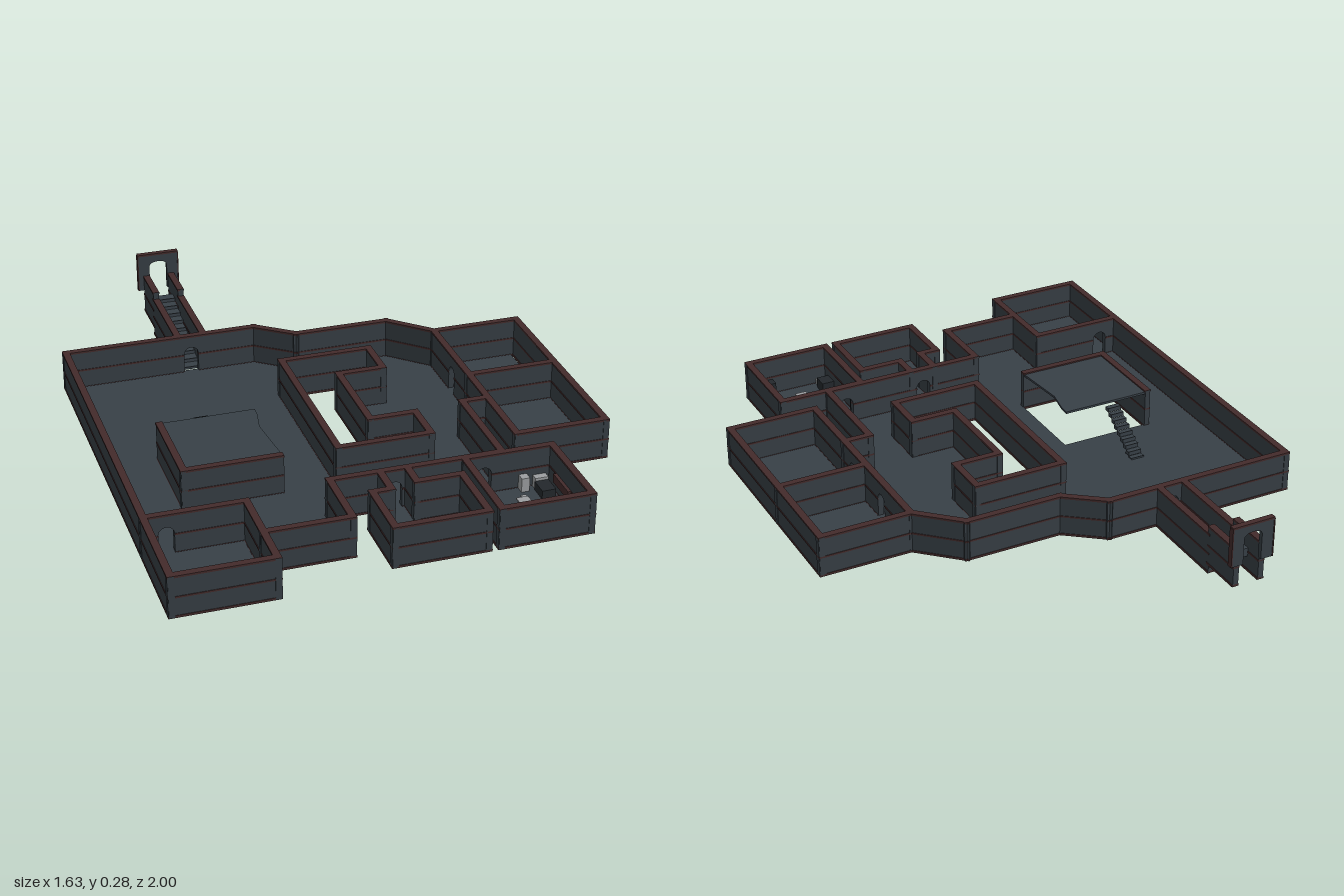
import * as THREE from 'three';

const mat = (name, color) => {
  const m = new THREE.MeshStandardMaterial({ color, side: THREE.DoubleSide });
  m.name = name;
  return m;
};

export function createModel() {
  const root = new THREE.Group();
  root.name = 'sunkenComplex';
  const slate = mat('slate wall', 0x363e44);
  const deck = mat('slate floor', 0x384047);
  const rust = mat('rust trim', 0x432b2b);
  const dark = mat('dark metal', 0x23282c);
  const pale = mat('pale furniture', 0x9c9fa1);
  const T = 0.024, BASE = 0.025, TOP = 0.17;

  const add = (parent, name, geo, m, x = 0, y = 0, z = 0) => {
    const mesh = new THREE.Mesh(geo, m);
    mesh.name = name;
    mesh.position.set(x, y, z);
    parent.add(mesh);
    return mesh;
  };
  // box given by its limits
  const box = (name, m, x0, x1, y0, y1, z0, z1, parent = root) =>
    add(parent, name, new THREE.BoxGeometry(x1 - x0, y1 - y0, z1 - z0), m,
      (x0 + x1) / 2, (y0 + y1) / 2, (z0 + z1) / 2);

  // flat slab from plan points, with optional holes
  const plan = pts => pts.map(([x, z]) => new THREE.Vector2(x, -z));
  function slab(name, pts, y, depth, holes = []) {
    const shape = new THREE.Shape(plan(pts));
    holes.forEach(h => shape.holes.push(new THREE.Path(plan(h))));
    const geo = new THREE.ExtrudeGeometry(shape, { depth, bevelEnabled: false });
    geo.rotateX(-Math.PI / 2);
    return add(root, name, geo, deck, 0, y, 0);
  }

  // wall between two plan points, with arched doors and rust bands
  function wall(name, [x1, z1], [x2, z2], doors = [], y0 = BASE, y1 = TOP) {
    const g = new THREE.Group();
    g.name = name;
    const L = Math.hypot(x2 - x1, z2 - z1), e = T / 2, w = 0.026, h = 0.1, H = y1 - y0;
    const s = new THREE.Shape();
    s.moveTo(-e, 0);
    const spans = [];
    let from = -e;
    doors.forEach(d => {
      s.lineTo(d - w, 0);
      s.lineTo(d - w, h - w);
      s.absarc(d, h - w, w, Math.PI, 0, true);
      s.lineTo(d + w, 0);
      spans.push([from, d - w]);
      from = d + w;
    });
    spans.push([from, L + e]);
    s.lineTo(L + e, 0);
    s.lineTo(L + e, H);
    s.lineTo(-e, H);
    const geo = new THREE.ExtrudeGeometry(s, { depth: T - 0.004, bevelEnabled: false, curveSegments: 8 });
    geo.translate(0, 0, -T / 2 + 0.002);
    add(g, 'wallPanel', geo, slate);
    box('topTrim', rust, -e, L + e, H - 0.006, H + 0.001, -e, e, g);
    spans.forEach(([a, b]) => {
      box('baseTrim', rust, a, b, -0.001, 0.007, -e, e, g);
      box('middleTrim', rust, a, b, H * 0.47, H * 0.47 + 0.006, -e, e, g);
    });
    g.position.set(x1, y0, z1);
    g.rotation.y = -Math.atan2(z2 - z1, x2 - x1);
    root.add(g);
  }
  // run of walls; doors maps a segment index to door distances
  function run(name, pts, doors = {}, closed = false) {
    const n = closed ? pts.length : pts.length - 1;
    for (let i = 0; i < n; i++) wall(name, pts[i], pts[(i + 1) % pts.length], doors[i]);
  }

  // main hall
  const hall = [[-0.805, 0.985], [-0.805, -0.51], [-0.12, -0.51], [0.01, -0.41], [0.35, -0.41],
    [0.487, -0.28], [0.487, 0.245], [0.395, 0.245], [0.395, 0.602], [-0.19, 0.602],
    [-0.19, 0.835], [-0.475, 0.835], [-0.475, 0.985]];
  const court = [[-0.1, -0.225], [0.22, -0.225], [0.22, -0.07], [0.06, -0.07],
    [0.06, 0.265], [0.22, 0.265], [0.22, 0.415], [-0.1, 0.415]];
  const pit = [[-0.615, 0.085], [-0.285, 0.085], [-0.285, 0.405], [-0.615, 0.405]];
  slab('hallFloor', hall, BASE, 0.006, [court, pit]);
  run('hallWall', hall, { 1: [0.45], 5: [0.21, 0.44], 8: [0.065, 0.37] }, true);
  run('courtyardWall', court, {}, true);
  wall('frontRoomDivider', [-0.805, 0.645], [-0.475, 0.645], [0.07]);
  wall('frontRoomSide', [-0.475, 0.645], [-0.475, 0.835]);

  // raised platform over the pit
  slab('platform', [[-0.615, 0.08], [-0.285, 0.08], [-0.287, 0.12], [-0.303, 0.2],
    [-0.287, 0.38], [-0.285, 0.405], [-0.615, 0.405]], 0.158, 0.008);
  wall('platformLeftWall', [-0.615, 0.09], [-0.615, 0.405]);
  wall('platformFrontWall', [-0.615, 0.405], [-0.295, 0.405]);
  for (let i = 0; i < 9; i++) {
    const z = -0.115 + i * 0.021, y = 0.036 + i * 0.0145;
    box('platformStep', deck, -0.49, -0.44, y - 0.014, y, z, z + 0.021);
    box('stepEdge', dark, -0.49, -0.44, y, y + 0.001, z, z + 0.003);
  }
  box('stairFoot', dark, -0.487, -0.443, 0, 0.026, -0.085, -0.06);
  box('stairFooting', dark, -0.487, -0.443, 0.016, 0.026, -0.11, 0.065);

  // two side rooms
  slab('sideRoomBackFloor', [[0.487, -0.28], [0.785, -0.28], [0.785, 0.07], [0.487, 0.07]], BASE, 0.006);
  slab('sideRoomFrontFloor', [[0.487, 0.07], [0.803, 0.07], [0.803, 0.505], [0.487, 0.505]], BASE, 0.006);
  run('sideRoomWall', [[0.487, -0.28], [0.803, -0.28], [0.803, 0.505], [0.487, 0.505], [0.487, 0.245]]);
  wall('sideRoomDivider', [0.487, 0.07], [0.803, 0.07]);

  // small front room with a neck
  const small = [[-0.022, 0.602], [-0.022, 0.715], [-0.085, 0.715], [-0.085, 0.93],
    [0.222, 0.93], [0.222, 0.695], [0.07, 0.695], [0.07, 0.602]];
  slab('smallRoomFloor', small, BASE, 0.006);
  run('smallRoomWall', small);

  // furnished front room
  const den = [[0.395, 0.607], [0.265, 0.607], [0.265, 0.93], [0.568, 0.93], [0.568, 0.607]];
  slab('furnishedRoomFloor', den, BASE, 0.006);
  run('furnishedRoomWall', den, { 0: [0.065] });
  wall('furnishedRoomBackWall', [0.395, 0.607], [0.568, 0.607]);
  const F = 0.031;
  box('tableTop', pale, 0.397, 0.438, F + 0.03, F + 0.035, 0.73, 0.815);
  box('tableLeg', dark, 0.41, 0.425, F, F + 0.03, 0.76, 0.785);
  for (const [x, z] of [[0.387, 0.77], [0.45, 0.77], [0.436, 0.705]]) {
    box('stoolSeat', pale, x - 0.009, x + 0.009, F + 0.015, F + 0.02, z - 0.009, z + 0.009);
    box('stoolLeg', dark, x - 0.003, x + 0.003, F, F + 0.015, z - 0.003, z + 0.003);
  }
  box('cabinet', pale, 0.45, 0.478, F, F + 0.05, 0.62, 0.65);
  box('bedHead', pale, 0.5, 0.545, F, F + 0.04, 0.62, 0.645);
  box('bed', dark, 0.497, 0.545, F, F + 0.03, 0.645, 0.71);
  box('desk', dark, 0.277, 0.322, F, F + 0.04, 0.83, 0.885);
  box('deskBox', pale, 0.277, 0.315, F, F + 0.02, 0.888, 0.915);
  box('locker', dark, 0.485, 0.535, F, F + 0.06, 0.88, 0.915);
  box('wallShelf', rust, 0.545, 0.556, F + 0.04, F + 0.07, 0.68, 0.8);
  box('cornerPost', dark, 0.277, 0.297, F, F + 0.1, 0.62, 0.64);

  // lone pillar in the hall
  box('pillar', pale, 0.105, 0.127, F, F + 0.05, 0.045, 0.067);

  // rising entrance passage
  for (const x of [-0.4, -0.307]) {
    wall('passageWall', [x, -0.52], [x, -0.83]);
    wall('passageUpperWall', [x, -0.842], [x, -0.972], [], 0.055, 0.197);
  }
  for (let i = 0; i < 10; i++) {
    const z = -0.522 - i * 0.04, y = 0.035 + i * 0.0115;
    box('passageStep', deck, -0.39, -0.317, Math.max(0.027, y - 0.03), y, z - 0.04, z);
    box('passageStepEdge', dark, -0.39, -0.317, y, y + 0.001, z - 0.005, z);
  }

  // gateway at the top of the passage
  const gate = new THREE.Shape();
  gate.moveTo(-0.43, 0.14);
  gate.lineTo(-0.387, 0.14);
  gate.lineTo(-0.387, 0.235);
  gate.quadraticCurveTo(-0.383, 0.252, -0.354, 0.252);
  gate.quadraticCurveTo(-0.325, 0.252, -0.321, 0.235);
  gate.lineTo(-0.321, 0.14);
  gate.lineTo(-0.278, 0.14);
  gate.lineTo(-0.278, 0.28);
  gate.lineTo(-0.43, 0.28);
  add(root, 'gateway', new THREE.ExtrudeGeometry(gate, { depth: 0.016, bevelEnabled: false }), slate, 0, 0, -0.998);
  box('gatewayTopTrim', rust, -0.431, -0.277, 0.278, 0.285, -1, -0.98);
  for (const x of [-0.43, -0.278]) box('gatewaySideTrim', rust, x - 0.002, x + 0.002, 0.14, 0.28, -1, -0.98);
  return root;
}
